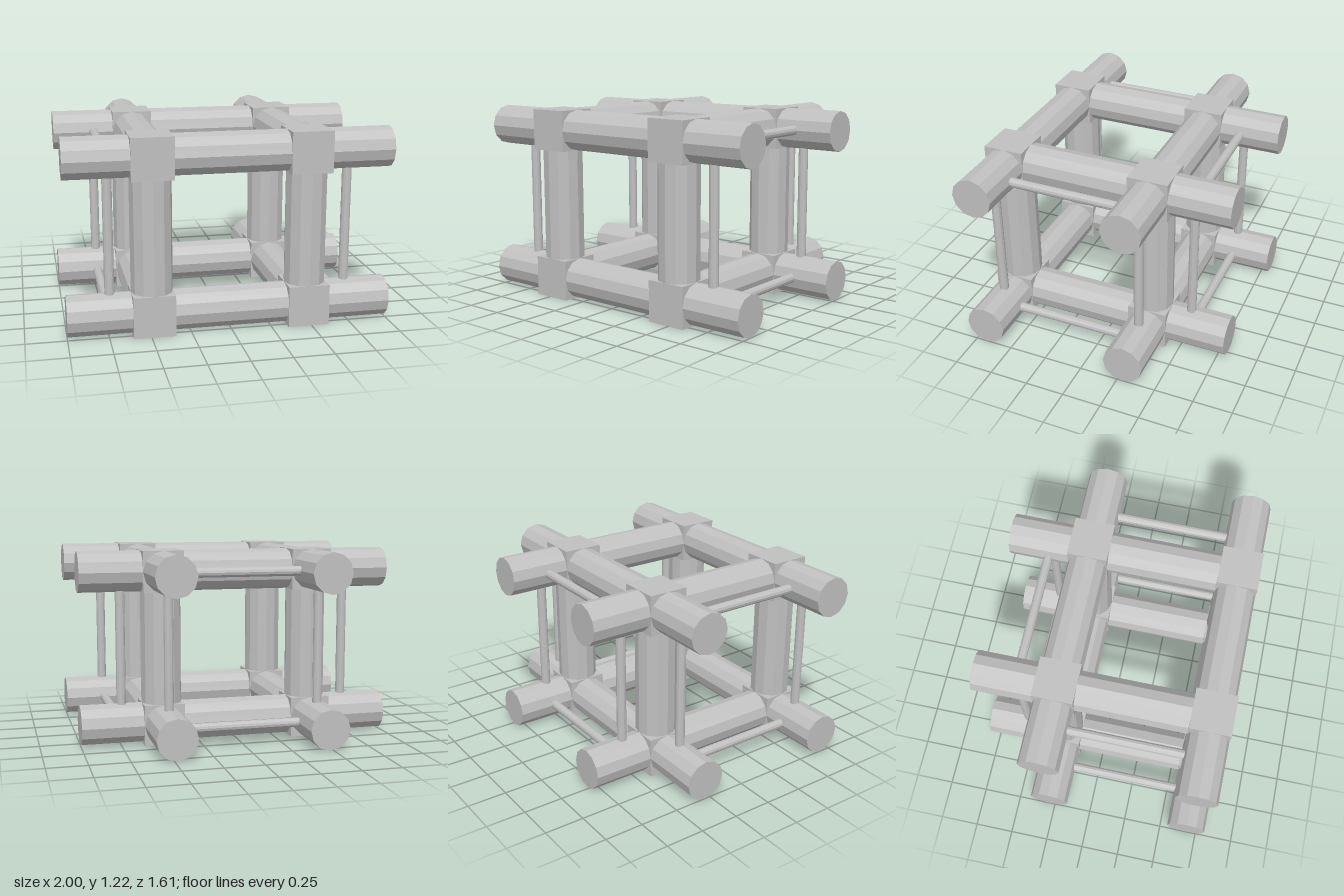
import * as THREE from 'three';

export function createModel() {
  const group = new THREE.Group();
  const grey = new THREE.MeshStandardMaterial({ color: 0xc0c0c0, flatShading: true });
  grey.name = 'concrete grey';

  const SIZE = 0.257, R = SIZE / 2, ROD = 0.03;
  const X = 0.48, LOW = R, HIGH = 1.0915, FRONT = 0.675, BACK = -0.285;
  const sides = [-1, 1], levels = [LOW, HIGH], rows = [FRONT, BACK];

  // Twelve-sided bar between two points along one axis
  function bar(name, radius, from, to) {
    const a = new THREE.Vector3(...from), b = new THREE.Vector3(...to);
    const d = b.clone().sub(a);
    const geo = new THREE.CylinderGeometry(radius, radius, d.length(), 12);
    if (Math.abs(d.x) > 0) geo.rotateZ(Math.PI / 2);
    else if (Math.abs(d.z) > 0) geo.rotateX(Math.PI / 2);
    const mesh = new THREE.Mesh(geo, grey);
    mesh.name = name;
    mesh.position.copy(a.add(b).multiplyScalar(0.5));
    group.add(mesh);
  }

  const mid = (LOW + HIGH) / 2, halfH = 0.36;
  const midZ = (FRONT + BACK) / 2, halfZ = 0.36;
  const rodX = X + SIZE, rodZ = BACK - SIZE - 0.002;

  // Corner joint blocks
  for (const s of sides) for (const y of levels) for (const z of rows) {
    const block = new THREE.Mesh(new THREE.BoxGeometry(SIZE, SIZE, SIZE), grey);
    block.name = 'jointBlock';
    block.position.set(s * X, y, z);
    group.add(block);
  }

  // Horizontal beams and the thin rods at each level
  for (const y of levels) {
    for (const z of rows) bar('crossBeam', R, [-1, y, z], [1, y, z]);
    for (const s of sides) {
      bar('lengthBeam', R, [s * X, y, -0.803], [s * X, y, FRONT]);
      bar('sideRod', ROD, [s * rodX, y, midZ - halfZ], [s * rodX, y, midZ + halfZ]);
    }
    bar('backRod', ROD, [-0.36, y, rodZ], [0.36, y, rodZ]);
  }

  // Columns and upright rods
  for (const s of sides) {
    for (const z of rows) {
      bar('column', R, [s * X, LOW, z], [s * X, HIGH, z]);
      bar('uprightRod', ROD, [s * rodX, mid - halfH, z], [s * rodX, mid + halfH, z]);
    }
    bar('backUprightRod', ROD, [s * X, mid - halfH, rodZ], [s * X, mid + halfH, rodZ]);
  }
  return group;
}
